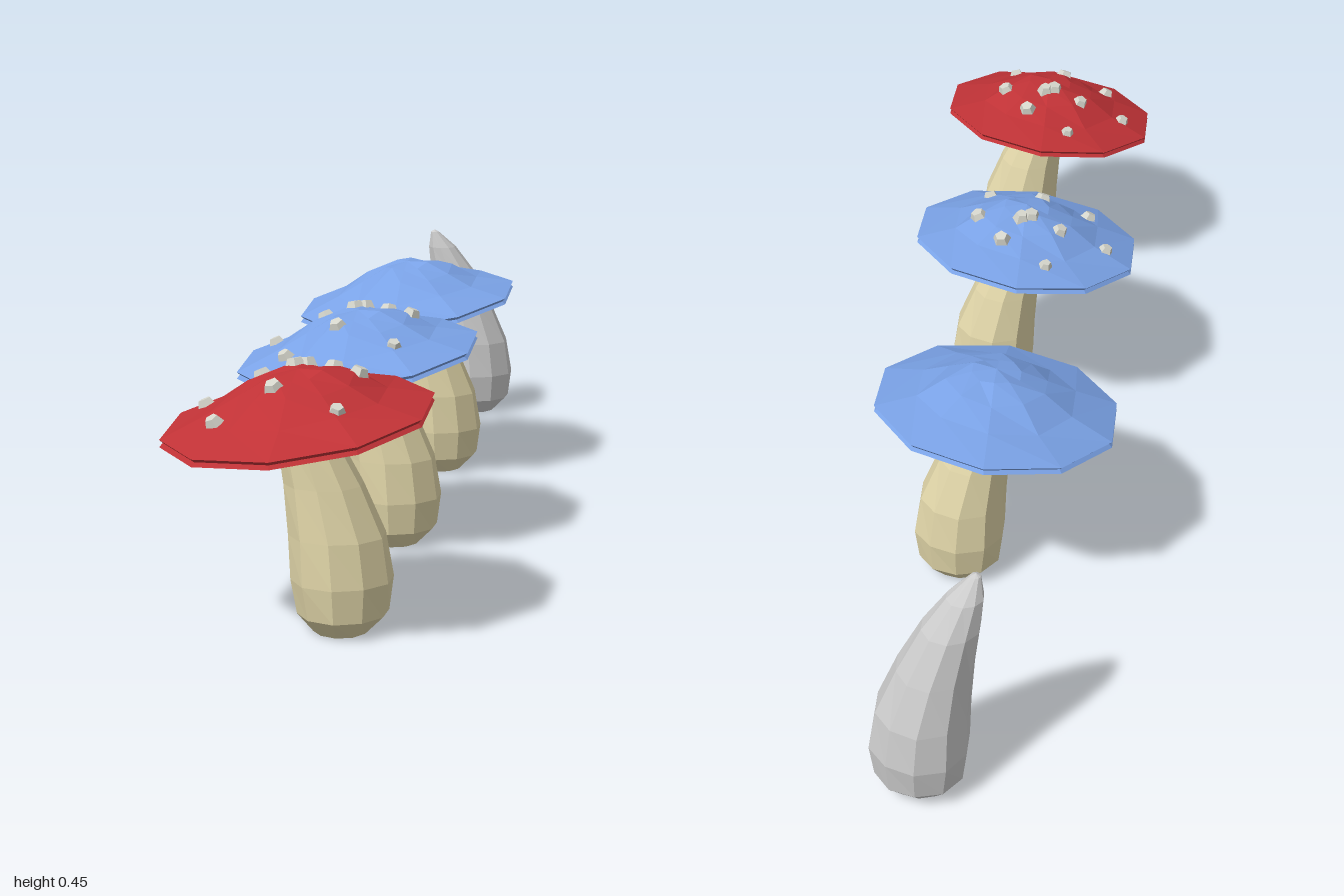
import * as THREE from 'three';

const SIDES = 10;
const material = (color, double) => new THREE.MeshStandardMaterial({
  color, flatShading: true, side: double ? THREE.DoubleSide : THREE.FrontSide });
const stemMat = material(0xe0d5a8), gillMat = material(0x858064, true);
const spotMat = material(0xd4d4ca), greyMat = material(0xcccccc);

// stem rings: height, radius, centre x, centre z
const STEM = [
  [0, 0, 0.066, -0.015], [0, 0.046, 0.066, -0.015], [0.032, 0.076, 0.068, -0.015],
  [0.09, 0.085, 0.067, -0.015], [0.165, 0.08, 0.061, -0.013], [0.25, 0.065, 0.041, -0.008],
  [0.33, 0.049, 0.015, 0], [0.385, 0.031, -0.008, 0.01], [0.42, 0.009, -0.024, 0.02], [0.425, 0, -0.025, 0.02]];

// cap profile from rim to apex: radius, height over the tilted rim plane
const CAP = [[0.222, 0.006], [0.145, 0.031], [0.093, 0.06], [0.045, 0.078], [0, 0.084]];

// spots: x, z, size
const SPOTS = [
  [-0.05, -0.148, 0.8], [0.04, -0.105, 1.1], [-0.16, -0.04, 0.95], [-0.07, -0.055, 1],
  [-0.012, -0.04, 1.1], [0.006, -0.048, 1], [0.093, -0.035, 1.1], [-0.027, 0.057, 1.1],
  [-0.118, 0.084, 1], [0.083, 0.1, 0.9]];

const rimPlane = (x, z) => 0.353 + 0.117 * x - 0.1 * z;

function capHeight(x, z) {
  const r = Math.hypot(x, z);
  for (let i = 1; i < CAP.length; i++) {
    const [r0, h0] = CAP[i - 1], [r1, h1] = CAP[i];
    if (r >= r1) return rimPlane(x, z) + h0 + (h1 - h0) * (r0 - r) / (r0 - r1);
  }
}

// turned shape whose vertices are then moved by a rule
function lathe(name, profile, mat, move) {
  const geo = new THREE.LatheGeometry(profile.map(([r, y]) => new THREE.Vector2(r, y)), SIDES);
  const p = geo.attributes.position;
  const v = new THREE.Vector3();
  for (let i = 0; i < p.count; i++) {
    v.fromBufferAttribute(p, i);
    move(v, i % profile.length);
    p.setXYZ(i, v.x, v.y, v.z);
  }
  geo.computeVertexNormals();
  const mesh = new THREE.Mesh(geo, mat);
  mesh.name = name;
  return mesh;
}

function makeStem(mat) {
  return lathe('stem', STEM.map(([y, r]) => [r, y]), mat, (v, ring) => {
    // slight irregularity between the facets, then the bend
    const k = 1 + 0.025 * Math.sin(3 * Math.atan2(v.x, v.z) + ring);
    v.x = v.x * k + STEM[ring][2];
    v.z = v.z * k + STEM[ring][3];
  });
}

function makeSpots() {
  const spots = new THREE.Group();
  spots.name = 'spots';
  const up = new THREE.Vector3(0, 1, 0), e = 0.015;
  SPOTS.forEach(([x, z, size], i) => {
    const spot = new THREE.Mesh(new THREE.CylinderGeometry(0.011, 0.019, 0.018, 5), spotMat);
    spot.name = 'spot';
    const normal = new THREE.Vector3(
      capHeight(x - e, z) - capHeight(x + e, z), 2 * e,
      capHeight(x, z - e) - capHeight(x, z + e)).normalize();
    spot.quaternion.setFromUnitVectors(up, normal);
    spot.rotateY(i * 1.3);
    spot.position.set(x, capHeight(x, z) + 0.002, z);
    spot.scale.setScalar(size);
    spots.add(spot);
  });
  return spots;
}

function makeMushroom(name, color, z, spotted) {
  const group = new THREE.Group();
  group.name = name;
  const tilt = v => { v.y += rimPlane(v.x, v.z); };
  // cap top with a grooved rim and a lightly uneven surface
  const capProfile = [[0.222, -0.006], [0.216, 0], ...CAP];
  const cap = lathe('cap', capProfile, material(color), (v, ring) => {
    const a = Math.atan2(v.x, v.z);
    if (ring > 2 && ring < capProfile.length - 1) v.y += 0.004 * Math.sin(3 * a + ring * 2);
    tilt(v);
  });
  // underside, with a pale recess where the stem enters
  const gills = lathe('gills', [[0.075, -0.002], [0.15, -0.004], [0.222, -0.006]], gillMat, tilt);
  const collar = lathe('collar', [[0.03, 0.03], [0.068, 0.022], [0.075, -0.002]], stemMat, tilt);
  group.add(makeStem(stemMat), cap, gills, collar);
  if (spotted) group.add(makeSpots());
  group.position.z = z;
  return group;
}

export function createModel() {
  const model = new THREE.Group();
  model.name = 'mushrooms';
  model.add(
    makeMushroom('redSpottedMushroom', 0xc03236, 0.775, true),
    makeMushroom('blueSpottedMushroom', 0x7aa2e6, 0.24, true),
    makeMushroom('bluePlainMushroom', 0x7aa2e6, -0.333, false));
  // bare stem without a cap
  const bareStem = makeStem(greyMat);
  bareStem.name = 'bareStem';
  bareStem.position.z = -0.9;
  model.add(bareStem);
  return model;
}
